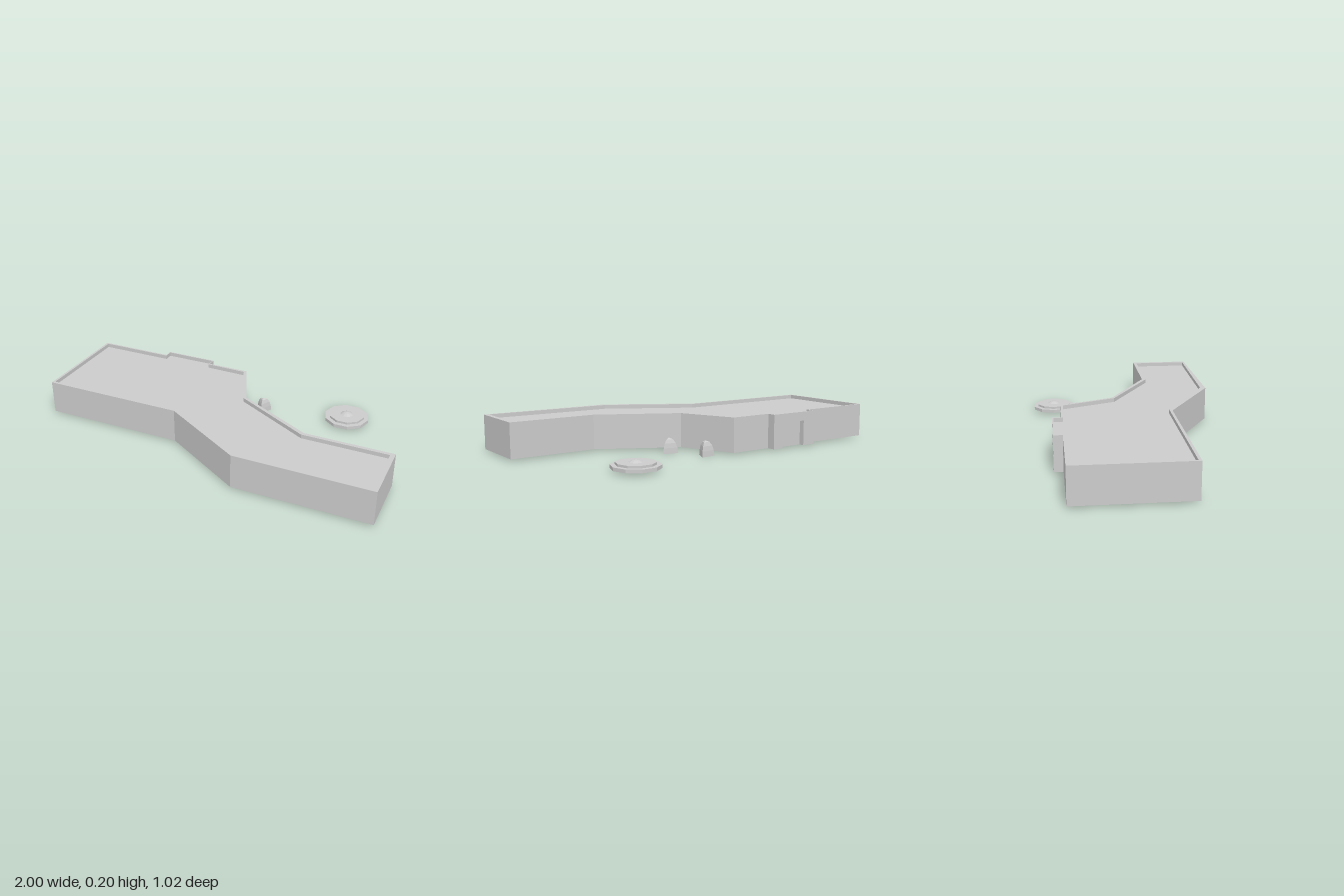
import * as THREE from 'three';

const material = new THREE.MeshStandardMaterial({ color: 0xcccccc, flatShading: true, side: THREE.DoubleSide });

const BASE = 0.01, DOOR_TOP = 0.15, TOP = 0.2, ROOF = 0.178;

// Plan outlines as [x, z], starting at the back corner of the wide wing
const outer = [
  [-1, -0.365], [-0.57, -0.365], [-0.57, -0.413], [-0.27, -0.413], [-0.27, -0.365],
  [-0.03, -0.365], [0.1, -0.065], [0.52, 0.16], [1, 0.16], [1, 0.51],
  [0.26, 0.51], [-0.2, 0.235], [-1, 0.235],
];
const inner = [
  [-0.987, -0.355], [-0.565, -0.355], [-0.565, -0.405], [-0.275, -0.405], [-0.275, -0.355],
  [-0.04, -0.35], [0.085, -0.055], [0.51, 0.18], [0.975, 0.18], [0.975, 0.497],
  [0.27, 0.48], [-0.18, 0.22], [-0.987, 0.22],
];
// Door niche cut into the porch front
const niche = [[-0.49, -0.413], [-0.49, -0.383], [-0.335, -0.383], [-0.335, -0.413]];

function add(group, name, geometry) {
  const mesh = new THREE.Mesh(geometry, material);
  mesh.name = name;
  group.add(mesh);
  return mesh;
}

// Closed band of quads joining plan loop a at height ya to loop b at height yb
function band(a, ya, b, yb) {
  const positions = [];
  a.forEach((p, i) => {
    const j = (i + 1) % a.length;
    const a0 = [p[0], ya, p[1]], a1 = [a[j][0], ya, a[j][1]];
    const b0 = [b[i][0], yb, b[i][1]], b1 = [b[j][0], yb, b[j][1]];
    positions.push(...a0, ...b0, ...b1, ...a0, ...b1, ...a1);
  });
  const geometry = new THREE.BufferGeometry();
  geometry.setAttribute('position', new THREE.Float32BufferAttribute(positions, 3));
  geometry.computeVertexNormals();
  return geometry;
}

// Flat horizontal surface filling a plan loop
function slab(loop, y) {
  const shape = new THREE.Shape(loop.map(([x, z]) => new THREE.Vector2(x, -z)));
  return new THREE.ShapeGeometry(shape).rotateX(-Math.PI / 2).translate(0, y, 0);
}

function lathe(profile, sides, start) {
  return new THREE.LatheGeometry(profile.map(([r, y]) => new THREE.Vector2(r, y)), sides, start);
}

export function createModel() {
  const model = new THREE.Group();
  model.name = 'buildingAndGrounds';

  // Building shell, open underneath
  const building = new THREE.Group();
  building.name = 'building';
  model.add(building);
  const lower = [...outer.slice(0, 3), ...niche, ...outer.slice(3)];
  add(building, 'lowerWalls', band(lower, BASE, lower, DOOR_TOP));
  add(building, 'upperWalls', band(outer, DOOR_TOP, outer, TOP));
  add(building, 'doorNicheCeiling', slab(niche, DOOR_TOP));

  // Recessed roof behind a low parapet
  add(building, 'parapetRim', band(outer, TOP, inner, TOP));
  add(building, 'parapetInside', band(inner, TOP, inner, ROOF));
  add(building, 'roof', slab(inner, ROOF));

  // Three-sided bullet-shaped shrubs
  const shrubProfile = [[0, 0], [0.049, 0], [0.045, 0.03], [0.037, 0.055], [0.022, 0.075], [0, 0.083]];
  [[0.11, -0.3, 0.08], [0.218, -0.118, -0.2]].forEach(([x, z, turn]) => {
    const shrub = add(model, 'shrub', lathe(shrubProfile, 3, 0));
    shrub.position.set(x, 0, z);
    shrub.rotation.y = turn;
  });

  // Ten-sided stepped fountain with a small dome
  const fountain = new THREE.Group();
  fountain.name = 'fountain';
  fountain.position.set(0.595, 0, -0.393);
  model.add(fountain);
  const steps = [[0.128, 0.012], [0.128, 0.03], [0.102, 0.03], [0.102, 0.042], [0.037, 0.042]];
  add(fountain, 'fountainSteps', lathe(steps, 10, Math.PI / 2));
  add(fountain, 'fountainDome', lathe([[0.037, 0.042], [0.02, 0.051], [0, 0.055]], 10, Math.PI / 2));

  return model;
}
